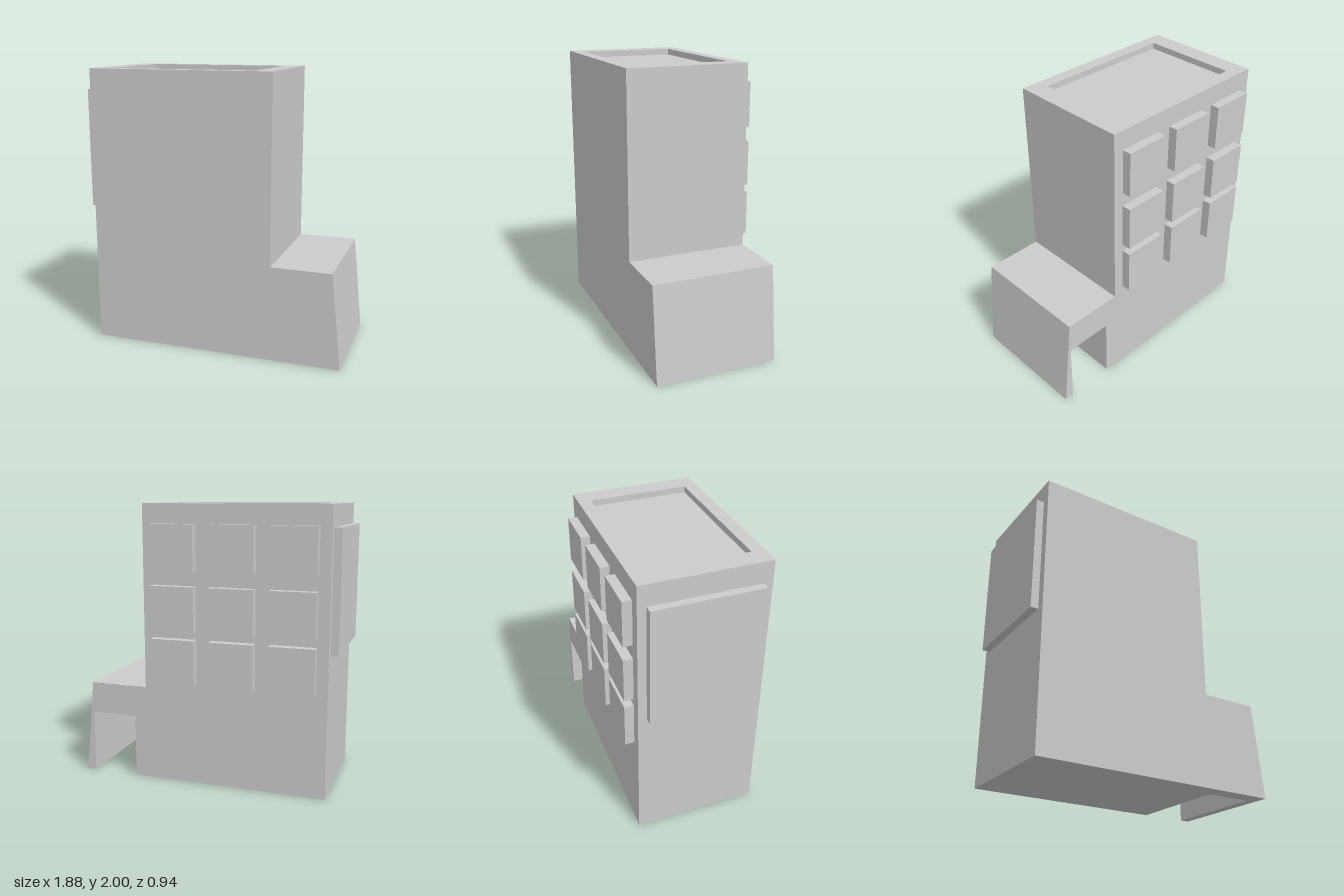
import * as THREE from 'three';

const material = new THREE.MeshStandardMaterial({ color: 0xcccccc, flatShading: true });

const BACK = -0.41, FRONT = 0.47, CAVITY_FRONT = 0.35;
const LEFT = 0.44, RIGHT = -0.89, TOP = 2, FLOOR = 1.955;

function addMesh(group, name, geometry) {
  const mesh = new THREE.Mesh(geometry, material);
  mesh.name = name;
  group.add(mesh);
  return mesh;
}

// Box given by its lower and upper limits on each axis
function addBox(group, name, [x0, x1], [y0, y1], [z0, z1]) {
  const mesh = addMesh(group, name, new THREE.BoxGeometry(x1 - x0, y1 - y0, z1 - z0));
  mesh.position.set((x0 + x1) / 2, (y0 + y1) / 2, (z0 + z1) / 2);
}

const outline = (points) => new THREE.Shape(points.map(([x, y]) => new THREE.Vector2(x, y)));

function addSlab(group, name, points, z0, z1) {
  const geometry = new THREE.ExtrudeGeometry(outline(points), { depth: z1 - z0, bevelEnabled: false });
  geometry.translate(0, 0, z0);
  addMesh(group, name, geometry);
}

export function createModel() {
  const model = new THREE.Group();
  model.name = 'building';

  // Tower and low annex share one L-shaped side profile; the annex wall slopes outward
  const upper = [[0.87, 0.685], [LEFT, 0.685], [LEFT, FLOOR], [RIGHT, FLOOR]];
  addSlab(model, 'frontWall', [[RIGHT, 0], [0.94, 0], ...upper], CAVITY_FRONT, FRONT);

  // Behind the front wall the annex is hollow, open at the back and below
  const cavity = [[0.53, 0], [0.53, 0.457], [0.87, 0.457], [0.87, 0]];
  addSlab(model, 'mainBody', [[RIGHT, 0], ...cavity, [0.94, 0], ...upper], BACK, CAVITY_FRONT);

  // Parapet around the sunken roof
  const rim = outline([[RIGHT, -FRONT], [LEFT, -FRONT], [LEFT, -BACK], [RIGHT, -BACK]]);
  rim.holes.push(outline([[-0.75, -0.38], [-0.75, 0.32], [0.3, 0.32], [0.3, -0.38]]));
  const parapet = new THREE.ExtrudeGeometry(rim, { depth: TOP - FLOOR, bevelEnabled: false });
  parapet.rotateX(-Math.PI / 2).translate(0, FLOOR, 0);
  addMesh(model, 'roofParapet', parapet);

  // Large panel on the right side
  addBox(model, 'sidePanel', [-0.945, RIGHT], [1.0, 1.85], [-0.35, 0.41]);

  // Three rows of three raised windows on the back
  const windows = new THREE.Group();
  windows.name = 'backWindows';
  for (const y of [0.74, 1.115, 1.54]) {
    for (const x of [-0.81, -0.383, 0.045]) {
      addBox(windows, 'window', [x, x + 0.32], [y, y + 0.322], [-0.475, BACK]);
    }
  }
  model.add(windows);

  return model;
}
